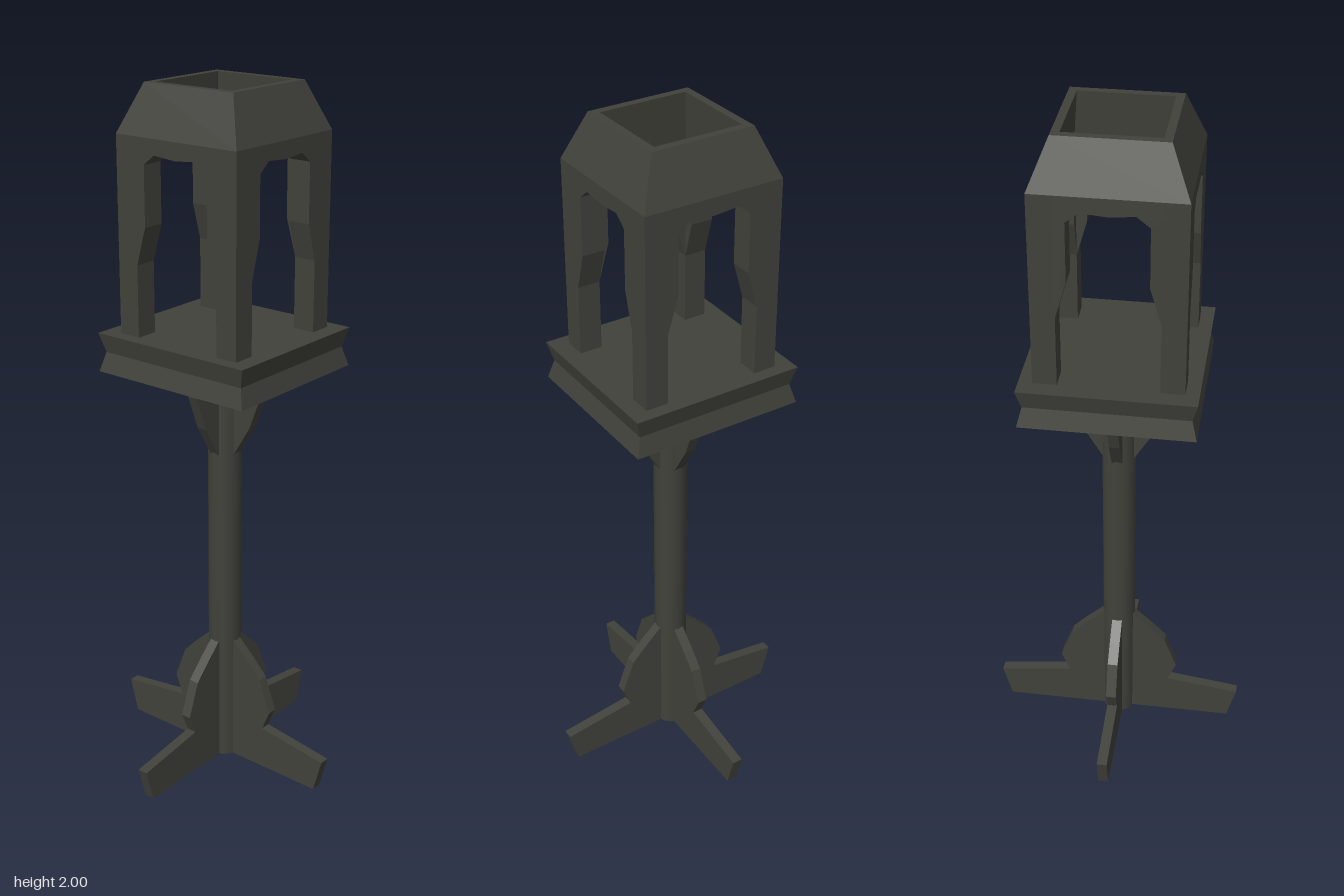
import * as THREE from 'three';

const iron = new THREE.MeshStandardMaterial({ color: 0x42423c });
iron.name = 'dark iron';

const vectors = (pairs) => pairs.map(([x, y]) => new THREE.Vector2(x, y));

// Square ring or block from a half-width / height profile, with hard edges
function squareLathe(profile) {
  const points = vectors(profile.map(([half, y]) => [half * Math.SQRT2, y]));
  const geometry = new THREE.LatheGeometry(points, 4).rotateY(Math.PI / 4).toNonIndexed();
  geometry.computeVertexNormals();
  return geometry;
}

// Slab from the right half of an outline (bottom to top), mirrored in x
function mirroredSlab(half, depth, z) {
  const left = half.filter(([x]) => x > 0).reverse().map(([x, y]) => [-x, y]);
  const shape = new THREE.Shape(vectors([...half, ...left]));
  return new THREE.ExtrudeGeometry(shape, { depth, bevelEnabled: false }).translate(0, 0, z);
}

export function createModel() {
  const group = new THREE.Group();
  const add = (name, geometry, turn = 0) => {
    const mesh = new THREE.Mesh(geometry, iron);
    mesh.name = name;
    mesh.rotation.y = turn;
    group.add(mesh);
    return mesh;
  };

  // Round pole
  add('pole', new THREE.CylinderGeometry(0.048, 0.048, 1.22, 12).translate(0, 0.61, 0));

  // Crossed feet with rounded gussets, and crossed brackets under the platform
  const foot = mirroredSlab([
    [0.345, 0], [0.372, 0.1], [0.155, 0.13], [0.18, 0.19],
    [0.143, 0.29], [0.1, 0.335], [0.047, 0.385],
  ], 0.03, -0.015);
  const bracket = mirroredSlab([
    [0.04, 0.97], [0.1, 1.07], [0.138, 1.17], [0.14, 1.22],
  ], 0.03, -0.015);
  for (const turn of [0, Math.PI / 2]) {
    add('foot', foot, turn);
    add('bracket', bracket, turn);
  }

  // Platform with a notched edge, slightly shallower than wide
  const platform = add('platform', squareLathe([
    [0, 1.22], [0.25, 1.22], [0.235, 1.275], [0.25, 1.33], [0, 1.33],
  ]));
  platform.scale.z = 0.95;

  // Four arched frames that meet in square corner posts
  const frame = mirroredSlab([
    [0, 1.822], [0.07, 1.828], [0.105, 1.8], [0.105, 1.635],
    [0.135, 1.53], [0.135, 1.33], [0.2, 1.33], [0.2, 1.87],
  ], 0.065, 0.135);
  for (let i = 0; i < 4; i++) add('archedFrame', frame, i * Math.PI / 2);

  // Open hood with sloping sides
  add('hood', squareLathe([
    [0.135, 1.87], [0.2, 1.87], [0.147, 2], [0.125, 2], [0.135, 1.87],
  ]));

  return group;
}
